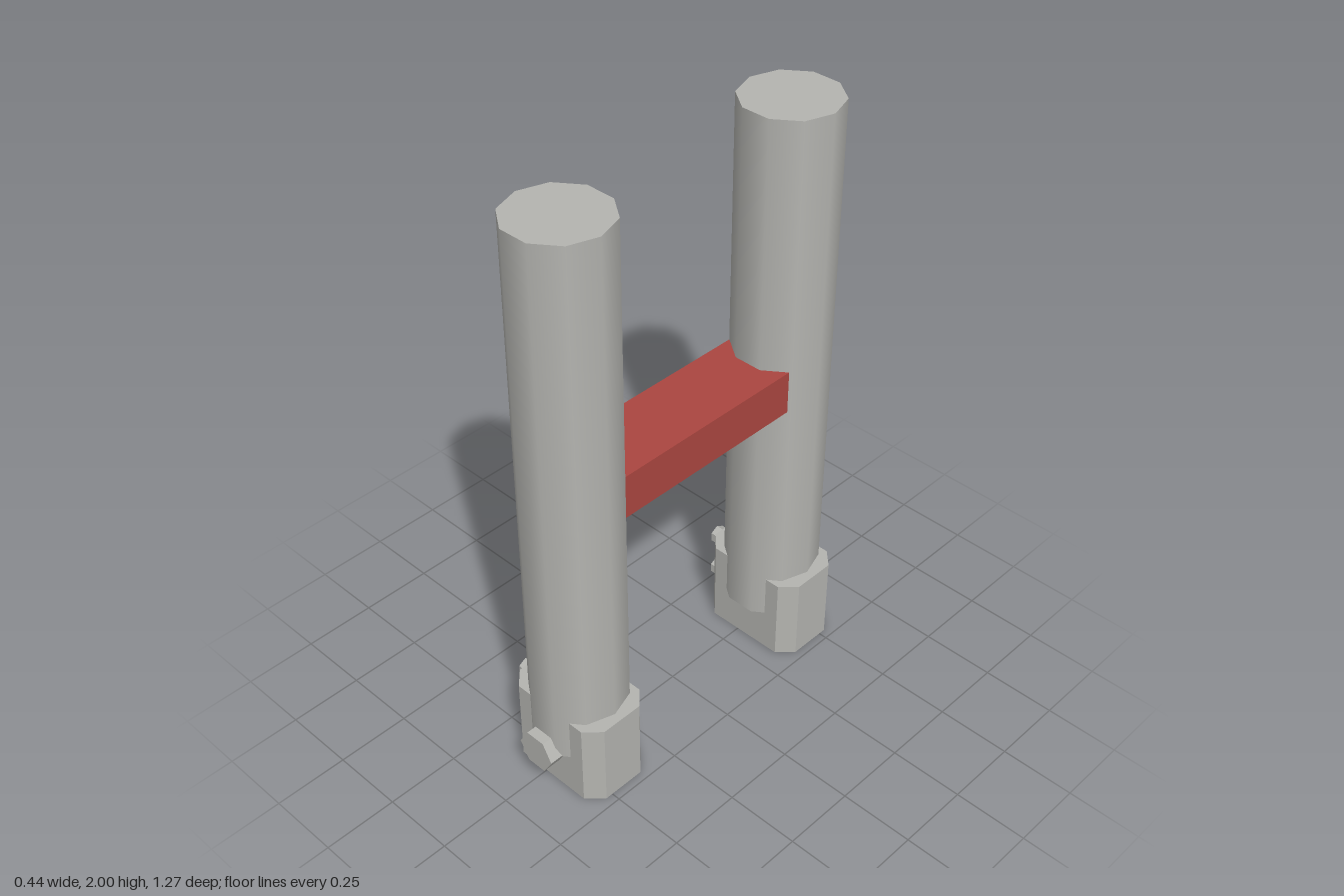
import * as THREE from 'three';

export function createModel() {
  const model = new THREE.Group();
  model.name = 'twinPostFrame';
  const steel = new THREE.MeshStandardMaterial({ color: 0xb4b4b0 });
  steel.name = 'grey steel';
  const red = new THREE.MeshStandardMaterial({ color: 0xab4640 });
  red.name = 'red paint';

  const add = (parent, name, geometry, material, x, y, z) => {
    const mesh = new THREE.Mesh(geometry, material);
    mesh.name = name;
    mesh.position.set(x, y, z);
    parent.add(mesh);
    return mesh;
  };

  // Prism or post with a corner on its +x side
  const prism = (radius, length, sides) =>
    new THREE.CylinderGeometry(radius, radius, length, sides, 1, false, Math.PI / 2);

  // Hexagonal bolt with crisp faces
  const hexBolt = (radius, length) => {
    const g = prism(radius, length, 6).toNonIndexed();
    g.computeVertexNormals();
    return g;
  };

  // Foot outline: rectangle with cut corners
  const w = 0.19, d = 0.125, c = 0.05;
  const outline = new THREE.Shape([
    [w, -d + c], [w, d - c], [w - c, d], [-w + c, d],
    [-w, d - c], [-w, -d + c], [-w + c, -d], [w - c, -d],
  ].map(([x, y]) => new THREE.Vector2(x, y)));
  const footGeometry = new THREE.ExtrudeGeometry(outline, { depth: 0.3, bevelEnabled: false });
  footGeometry.rotateX(-Math.PI / 2);

  const postGeometry = prism(0.16, 1.85, 10);
  const faceBolt = hexBolt(0.07, 0.14).rotateX(Math.PI / 2);
  const sideBolt = hexBolt(0.032, 0.12).rotateZ(Math.PI / 2);

  // Front and back posts, each with a foot and its bolts
  for (const side of [1, -1]) {
    const leg = new THREE.Group();
    leg.name = side > 0 ? 'frontPost' : 'backPost';
    leg.position.set(0.03, 0, side * 0.45);
    model.add(leg);
    add(leg, 'post', postGeometry, steel, 0, 1.075, 0);
    add(leg, 'foot', footGeometry, steel, 0, 0, 0);
    add(leg, 'faceBolt', faceBolt, steel, -0.004, 0.153, side * 0.117);
    for (const y of [0.082, 0.225]) add(leg, 'sideBolt', sideBolt, steel, -0.19, y, 0);
  }

  // Bar joining the posts
  add(model, 'crossbar', new THREE.BoxGeometry(0.25, 0.15, 0.705), red, 0.027, 1.077, 0);
  return model;
}
